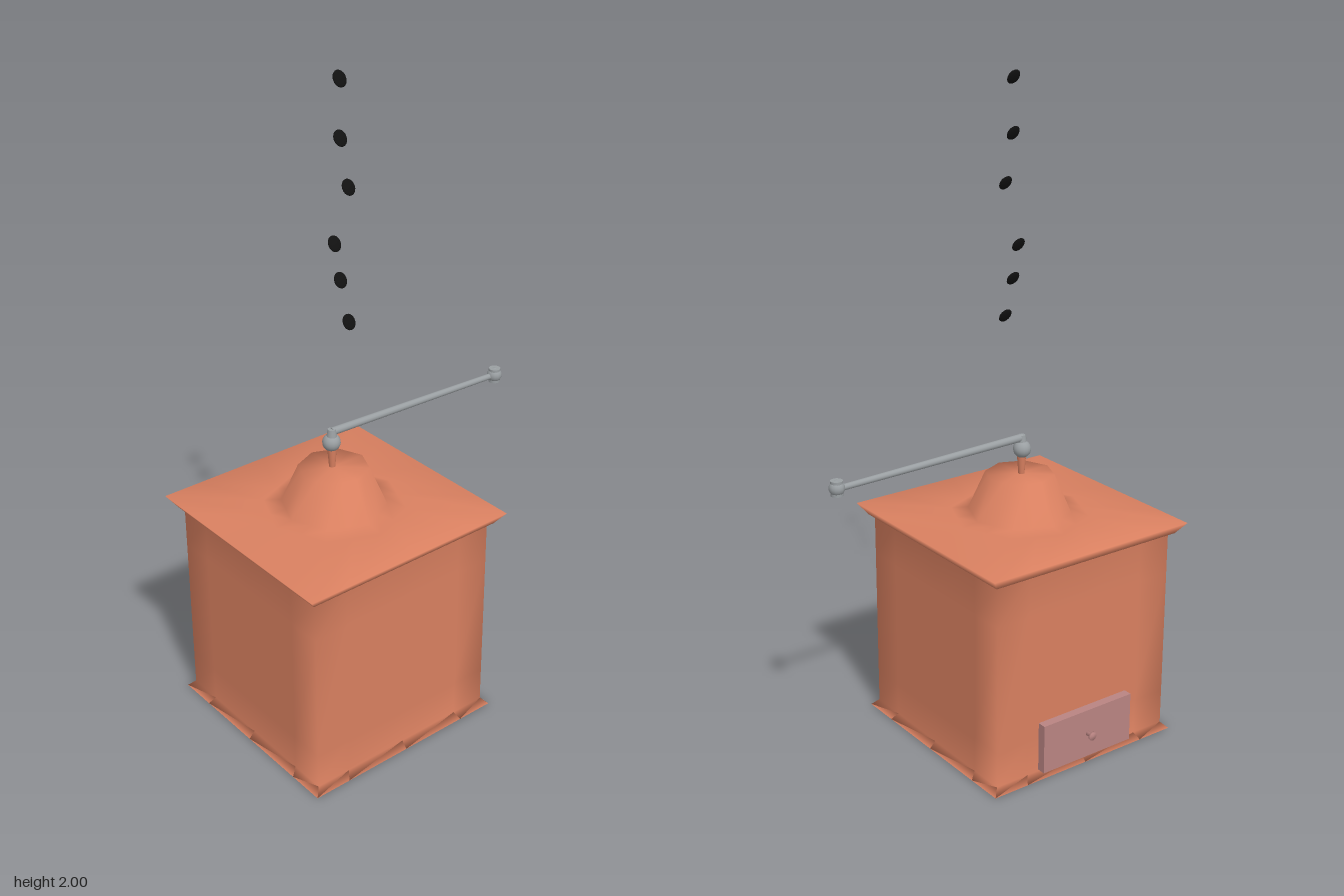
import * as THREE from 'three';

const material = (color, extra = {}) => new THREE.MeshStandardMaterial({ color, ...extra });
const copper = material(0xd98060);
const drawerPink = material(0xb98482);
const steel = material(0x9a9fa2);
const black = material(0x111111);

const CX = -0.15, CZ = 0.005; // axis of the grinder

function add(parent, name, geometry, mat, x = 0, y = 0, z = 0) {
  const mesh = new THREE.Mesh(geometry, mat);
  mesh.name = name;
  mesh.position.set(x, y, z);
  parent.add(mesh);
  return mesh;
}

// 16 points round a square; corners fall on 45 degrees
function squareRing(half, y) {
  const points = [];
  for (let side = 0; side < 4; side++) {
    const a = side * Math.PI / 2;
    for (const t of [-1, -0.65, 0, 0.65]) {
      const u = half, v = half * t;
      points.push([u * Math.cos(a) - v * Math.sin(a), y, u * Math.sin(a) + v * Math.cos(a)]);
    }
  }
  return points;
}

// 16 points round an octagon: its corners and the middles of its sides
function octagonRing(radius, y) {
  const points = [];
  for (let i = 0; i < 16; i++) {
    const a = (i - 2) * Math.PI / 8;
    const r = i % 2 ? radius * Math.cos(Math.PI / 8) : radius;
    points.push([r * Math.cos(a), y, r * Math.sin(a)]);
  }
  return points;
}

// Skin over the rings from bottom to top, closed at both ends
function loft(rings) {
  const n = rings[0].length;
  const positions = rings.flat(2);
  const index = [];
  for (let r = 0; r < rings.length - 1; r++) {
    for (let i = 0; i < n; i++) {
      const a = r * n + i, b = r * n + (i + 1) % n;
      index.push(a, a + n, b, b, a + n, b + n);
    }
  }
  const bottom = rings.length * n, top = bottom + 1, last = (rings.length - 1) * n;
  positions.push(0, rings[0][0][1], 0, 0, rings.at(-1)[0][1], 0);
  for (let i = 0; i < n; i++) {
    const j = (i + 1) % n;
    index.push(bottom, i, j, top, last + j, last + i);
  }
  const geometry = new THREE.BufferGeometry();
  geometry.setAttribute('position', new THREE.Float32BufferAttribute(positions, 3));
  geometry.setIndex(index);
  geometry.computeVertexNormals();
  return geometry;
}

// Round bar between two points
function bar(parent, name, from, to, r0, r1, mat) {
  const a = new THREE.Vector3(...from), b = new THREE.Vector3(...to);
  const dir = b.clone().sub(a);
  const mesh = add(parent, name, new THREE.CylinderGeometry(r1, r0, dir.length(), 12), mat);
  mesh.position.copy(a).add(b).multiplyScalar(0.5);
  mesh.quaternion.setFromUnitVectors(new THREE.Vector3(0, 1, 0), dir.normalize());
}

export function createModel() {
  const model = new THREE.Group();
  model.name = 'coffeeGrinder';

  // Box, flared lid and hopper dome as one soft-shaded skin
  add(model, 'body', loft([
    squareRing(0.22, 0), squareRing(0.335, 0), squareRing(0.316, 0.02),
    squareRing(0.316, 0.13), squareRing(0.316, 0.53), squareRing(0.316, 0.655),
    squareRing(0.33, 0.66), squareRing(0.356, 0.695),
    octagonRing(0.21, 0.698), octagonRing(0.157, 0.705),
    octagonRing(0.105, 0.825),
  ]), copper, CX, 0, CZ);

  // Drawer at the back, with its pull
  const drawer = new THREE.Group();
  drawer.name = 'drawer';
  drawer.position.set(CX, 0.102, -0.32);
  model.add(drawer);
  add(drawer, 'drawerFront', new THREE.BoxGeometry(0.33, 0.155, 0.036), drawerPink);
  const pull = new THREE.LatheGeometry(
    [[0, 0], [0.008, 0], [0.006, 0.015], [0.013, 0.019], [0.013, 0.026], [0, 0.027]]
      .map(([x, y]) => new THREE.Vector2(x, y)), 10);
  add(drawer, 'drawerPull', pull, drawerPink, 0, 0, -0.017).rotation.x = -Math.PI / 2;

  // Spindle and crank
  const crank = new THREE.Group();
  crank.name = 'crank';
  model.add(crank);
  const hubX = -0.152;
  bar(crank, 'spindle', [hubX, 0.82, 0], [hubX, 0.885, 0], 0.009, 0.014, copper);
  add(crank, 'hubBall', new THREE.SphereGeometry(0.027, 16, 12), steel, hubX, 0.903, -0.002);
  bar(crank, 'hubNeck', [hubX, 0.91, 0], [hubX, 0.946, 0], 0.018, 0.012, steel);
  bar(crank, 'crankArm', [hubX, 0.938, 0], [0.48, 0.92, 0.006], 0.012, 0.009, steel);
  add(crank, 'handleKnob', new THREE.CylinderGeometry(0.018, 0.018, 0.044, 14), steel, 0.48, 0.922, 0.008);
  add(crank, 'handleCollar', new THREE.SphereGeometry(0.023, 14, 10), steel, 0.48, 0.922, 0.008);

  // Falling beans
  const beans = new THREE.Group();
  beans.name = 'beans';
  model.add(beans);
  const spots = [
    [-0.162, 1.98, 0.065], [-0.162, 1.825, 0.065], [-0.136, 1.687, 0.065],
    [-0.147, 1.517, 0.017], [-0.142, 1.416, 0.035], [-0.136, 1.3, 0.063],
  ];
  for (const spot of spots) {
    const bean = add(beans, 'bean', new THREE.SphereGeometry(1, 14, 10), black, ...spot);
    bean.scale.set(0.021, 0.023, 0.006);
    bean.rotation.x = -0.5;
  }
  return model;
}
